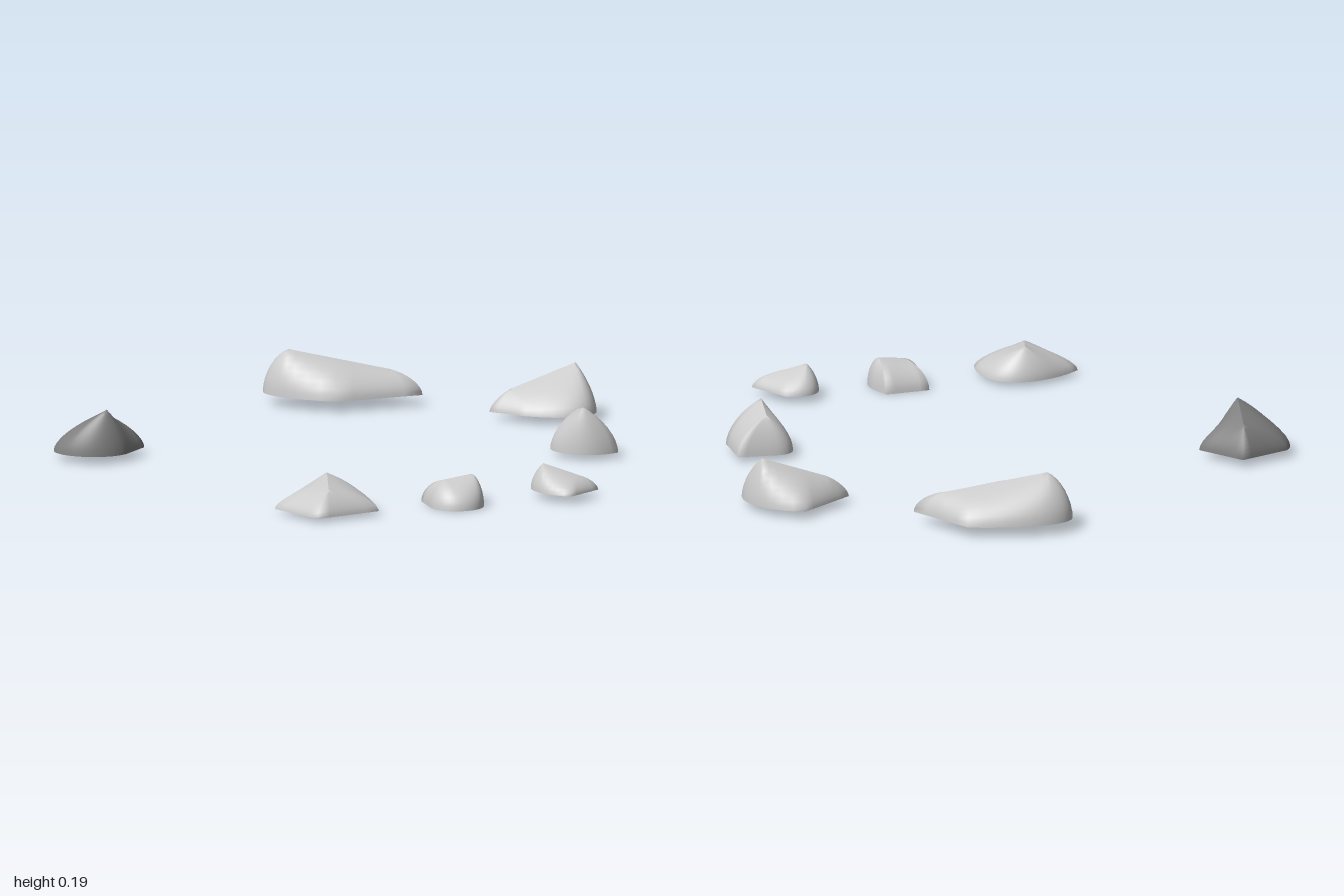
import * as THREE from 'three';
import { mergeVertices } from 'three/addons/utils/BufferGeometryUtils.js';

// Each stone: plan corners [x, z] joined straight, closed by one rounded side with two
// Bezier handles, over a base height, with a crest line [x, y, z] and a flank bulge
const STONES = [
  { name: 'longBackStone', base: 0.037, bulge: 0.75, crest: [[0.04, 0.186, -0.88], [0.36, 0.118, -0.79]],
    corners: [[0.33, -0.95], [0.455, -0.725], [0.15, -0.7]], round: [[-0.17, -0.89], [-0.06, -1.08]] },
  { name: 'leftBackStone', base: 0.025, bulge: 0.5, crest: [[0.68, 0.1, -0.455], [0.9, 0.176, -0.45]],
    corners: [[0.7, -0.35], [0.605, -0.455], [0.79, -0.595]], round: [[1.05, -0.52], [0.98, -0.14]] },
  { name: 'leftStone', base: 0.017, bulge: 0.6, crest: [[0.72, 0.172, 0.24], [0.73, 0.143, 0.13]],
    corners: [[0.7, 0.09], [0.835, 0.1], [0.835, 0.26]], round: [[0.65, 0.345], [0.57, 0.09]] },
  { name: 'leftFrontStone', base: 0.025, bulge: 0.6, crest: [[0.42, 0.112, 0.79], [0.54, 0.07, 0.835]],
    corners: [[0.51, 0.715], [0.59, 0.85], [0.47, 0.935]], round: [[0.33, 0.86], [0.36, 0.65]] },
  { name: 'middleFrontStone', base: 0, bulge: 0.85, crest: [[0.16, 0.1, 0.83], [0.07, 0.088, 0.84]],
    corners: [[0.01, 0.87], [0.01, 0.75], [0.16, 0.735], [0.19, 0.81]], round: [[0.22, 0.96], [0.04, 0.99]] },
  { name: 'rightFrontStone', base: 0.015, bulge: 0.5, crest: [[-0.32, 0.12, 0.765], [-0.36, 0.095, 0.92]],
    corners: [[-0.19, 0.93], [-0.42, 0.995], [-0.51, 0.8]], round: [[-0.36, 0.66], [-0.14, 0.66]] },
  { name: 'darkRightStone', base: 0.025, bulge: 0.5, color: 0x808080,
    crest: [[-0.8, 0.175, -0.165], [-0.78, 0.125, -0.32]],
    corners: [[-0.93, -0.31], [-0.76, -0.385], [-0.65, -0.235], [-0.74, -0.145]],
    round: [[-0.85, -0.07], [-1.02, -0.2]] },
];

// Plan outline sampled along its straight sides and its rounded side
function outlinePoints({ corners, round, base }) {
  const shape = new THREE.Shape();
  shape.moveTo(...corners[0]);
  for (const corner of corners.slice(1)) shape.lineTo(...corner);
  shape.bezierCurveTo(...round[0], ...round[1], ...corners[0]);
  return shape.curves
    .flatMap((curve) => curve.getPoints(curve.isLineCurve ? 5 : 20).slice(0, -1))
    .map((p) => new THREE.Vector3(p.x, base, p.y));
}

// Hollow shell rising in rings from the outline to the nearest point of the crest
function stoneGeometry(stone) {
  const { base, crest, bulge } = stone;
  const foot = outlinePoints(stone);
  const sides = foot.length, rings = 8;
  const line = new THREE.Line3(new THREE.Vector3(...crest[0]), new THREE.Vector3(...crest[1]));
  const flat = new THREE.Line3(line.start.clone().setY(base), line.end.clone().setY(base));
  const top = foot.map((p) => line.at(flat.closestPointToPointParameter(p, true), new THREE.Vector3()));
  const positions = [], index = [];
  for (let r = 0; r <= rings; r++) {
    const angle = (r / rings) * Math.PI / 2;
    const inward = 1 - Math.cos(angle);
    const rise = THREE.MathUtils.lerp(inward, Math.sin(angle), bulge);
    for (let i = 0; i < sides; i++) {
      const p = foot[i].clone().lerp(top[i], inward);
      positions.push(p.x, THREE.MathUtils.lerp(base, top[i].y, rise), p.z);
      if (r === rings) continue;
      const a = r * sides + i, b = r * sides + (i + 1) % sides;
      index.push(a, a + sides, b, b, a + sides, b + sides);
    }
  }
  const geometry = new THREE.BufferGeometry();
  geometry.setAttribute('position', new THREE.Float32BufferAttribute(positions, 3));
  geometry.setIndex(index);
  const merged = mergeVertices(geometry, 1e-4);
  merged.computeVertexNormals();
  return merged;
}

export function createModel() {
  const group = new THREE.Group();
  group.name = 'stoneRing';
  for (const stone of STONES) {
    const material = new THREE.MeshStandardMaterial({ color: stone.color ?? 0xcccccc, side: THREE.DoubleSide });
    const mesh = new THREE.Mesh(stoneGeometry(stone), material);
    mesh.name = stone.name;
    group.add(mesh);
  }
  return group;
}
